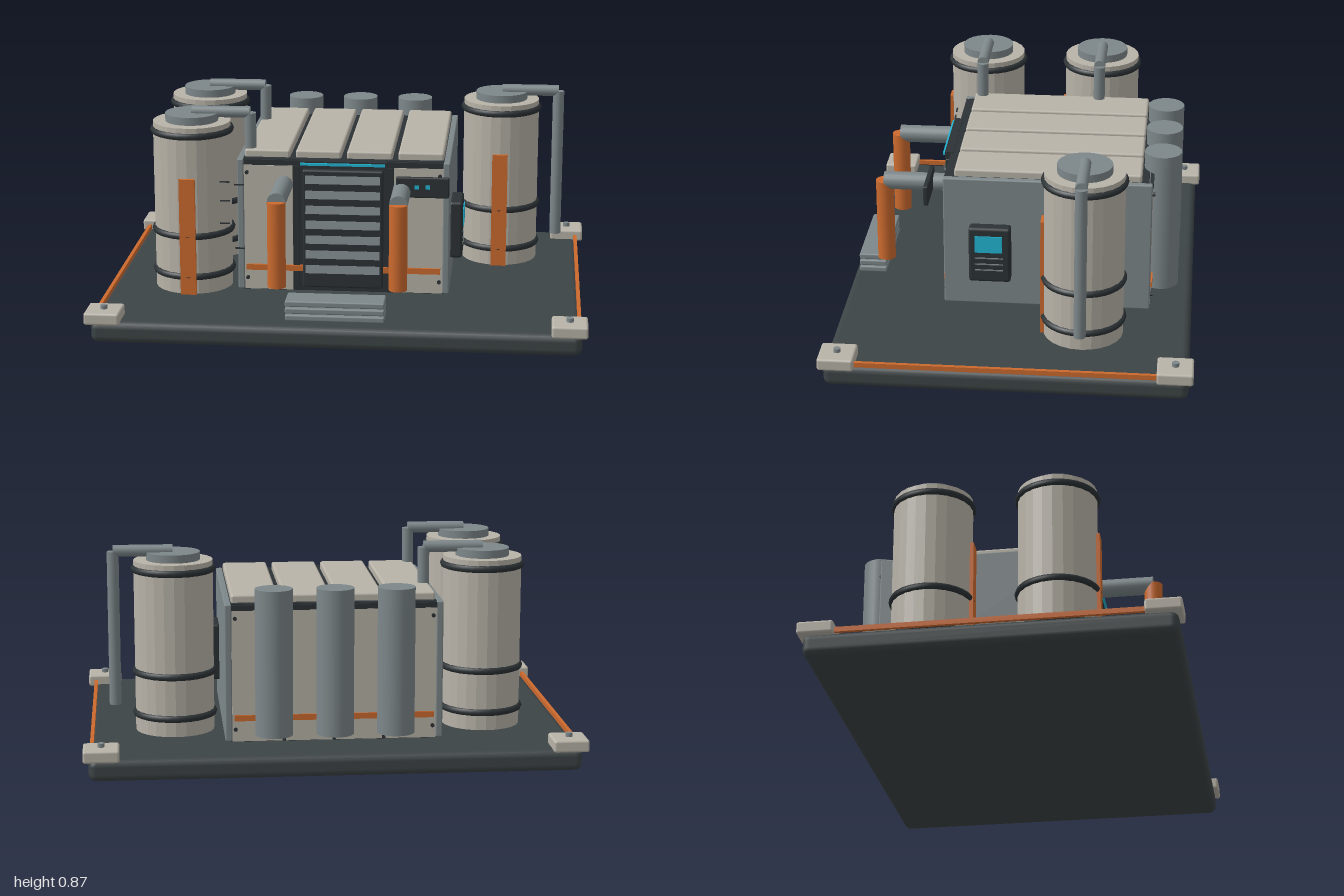
import * as THREE from 'three';
import { RoundedBoxGeometry } from 'three/addons/geometries/RoundedBoxGeometry.js';

export function createModel() {
  const root = new THREE.Group();
  const mat = (color, flatShading = false) => {
    const m = new THREE.MeshStandardMaterial({ flatShading });
    m.color.set(color);
    return m;
  };
  const deck = mat(0x3d4446), dark = mat(0x2c3235), beige = mat(0xb8b3a8), steel = mat(0x7d878a);
  const orange = mat(0xcc6a2e), cyan = mat(0x22b8d6), beigeFlat = mat(0xb8b3a8, true);

  const add = (name, geo, m, x, y, z, parent = root) => {
    const mesh = new THREE.Mesh(geo, m);
    mesh.name = name;
    mesh.position.set(x, y, z);
    parent.add(mesh);
    return mesh;
  };
  const box = (name, m, w, h, d, x, y, z, p) => add(name, new THREE.BoxGeometry(w, h, d), m, x, y, z, p);
  const soft = (name, m, w, h, d, r, x, y, z, p) =>
    add(name, new RoundedBoxGeometry(w, h, d, 2, r), m, x, y, z, p);
  const rod = (name, m, r, h, x, y, z, p, n = 20) =>
    add(name, new THREE.CylinderGeometry(r, r, h, n), m, x, y, z, p);

  // Platform with edge strips and corner feet
  soft('platform', deck, 1.955, 0.09, 1.43, 0.03, 0, 0.045, 0);
  for (const sx of [-1, 1]) {
    box('edgeStrip', orange, 0.015, 0.02, 1.2, sx * 0.967, 0.1, 0);
    for (const sz of [-1, 1]) {
      soft('cornerBlock', beige, 0.143, 0.05, 0.143, 0.01, sx * 0.928, 0.106, sz * 0.661);
      rod('cornerBolt', steel, 0.014, 0.02, sx * 0.928, 0.137, sz * 0.661, root, 12);
    }
  }

  // Housing: dark core, steel side walls, roof panels
  const house = new THREE.Group();
  house.name = 'housing';
  root.add(house);
  box('core', dark, 0.83, 0.56, 0.81, 0, 0.385, -0.123, house);
  for (const s of [-1, 1]) {
    soft('sideWall', steel, 0.028, 0.556, 0.842, 0.006, s * 0.422, 0.388, -0.123, house);
    for (const z of [0.288, -0.538]) {
      box('wallPanel', beige, 0.2, 0.53, 0.012, s * 0.308, 0.375, z, house);
      for (const y of [0.16, 0.61]) {
        const b = rod('panelBolt', dark, 0.008, 0.012, s * 0.395, y, z + Math.sign(z) * 0.01, house, 8);
        b.rotation.x = Math.PI / 2;
      }
    }
  }
  for (let i = 0; i < 4; i++)
    soft('roofPanel', beige, 0.187, 0.04, 0.755, 0.01, (i - 1.5) * 0.21, 0.676, -0.123, house);
  for (const s of [-1, 1]) box('rearCenterPanel', beige, 0.185, 0.53, 0.012, s * 0.1, 0.375, -0.538, house);
  box('frontBand', orange, 0.8, 0.024, 0.012, 0, 0.206, 0.298, house);
  box('rearBand', orange, 0.8, 0.024, 0.012, 0, 0.206, -0.545, house);
  for (const z of [0.288, -0.54]) box('topBeam', dark, 0.82, 0.022, 0.014, 0, 0.652, z, house);

  // Louvred door, light bar and posts
  soft('doorFrame', dark, 0.33, 0.5, 0.035, 0.008, 0, 0.38, 0.302, house);
  for (let i = 0; i < 7; i++) {
    const slat = box('louvre', steel, 0.305, 0.034, 0.01, 0, 0.59 - i * 0.0635, 0.32, house);
    slat.rotation.x = -0.2;
  }
  for (const s of [-1, 1]) box('doorPost', dark, 0.024, 0.53, 0.02, s * 0.192, 0.375, 0.291, house);
  box('lightHousing', dark, 0.36, 0.03, 0.035, 0, 0.652, 0.302, house);
  box('lightBar', cyan, 0.345, 0.01, 0.012, 0, 0.656, 0.322, house);

  // Front indicator panel
  soft('indicatorPanel', dark, 0.215, 0.085, 0.02, 0.006, 0.328, 0.582, 0.368);
  for (const x of [0.305, 0.35]) box('indicatorLamp', cyan, 0.018, 0.016, 0.006, x, 0.585, 0.379);

  // Small loose marks on the front
  for (const [x, y] of [[-0.48, 0.58], [-0.48, 0.5], [-0.48, 0.405], [-0.42, 0.57], [-0.42, 0.3]])
    box('frontMark', dark, 0.04, 0.005, 0.006, x, y, 0.347);

  // Control box on the left wall
  const control = new THREE.Group();
  control.name = 'controlBox';
  root.add(control);
  soft('controlCase', dark, 0.055, 0.24, 0.17, 0.012, 0.458, 0.352, 0.106, control);
  box('controlScreen', cyan, 0.008, 0.072, 0.11, 0.486, 0.402, 0.11, control);
  for (const y of [0.34, 0.313, 0.287]) box('controlSlot', steel, 0.004, 0.005, 0.115, 0.486, y, 0.108, control);

  // Front pipes: steel run out of the wall, orange drop
  for (const s of [-1, 1]) {
    const x = s * 0.243;
    rod('frontPipe', steel, 0.037, 0.29, x, 0.561, 0.418).rotation.x = Math.PI / 2;
    rod('dropPipe', orange, 0.037, 0.352, x, 0.386, 0.562);
  }

  // Stacked entry steps
  for (let i = 0; i < 3; i++) soft('step', steel, 0.395, 0.024, 0.115, 0.006, 0, 0.121 + i * 0.029, 0.63);

  // Rear stacks
  for (const x of [-0.243, 0, 0.243]) rod('rearStack', steel, 0.075, 0.59, x, 0.44, -0.58, root, 24);

  // Tanks with bands, marker strip and outlet pipe
  for (const [x, z] of [[-0.63, -0.285], [-0.63, 0.22], [0.63, -0.285]]) {
    const tank = new THREE.Group();
    tank.name = 'tank';
    tank.position.set(x, 0, z);
    root.add(tank);
    rod('tankBody', beigeFlat, 0.16, 0.7, 0, 0.457, 0, tank, 24);
    rod('tankCap', steel, 0.109, 0.035, 0, 0.822, 0, tank, 24);
    for (const y of [0.18, 0.352, 0.772])
      add('tankBand', new THREE.TorusGeometry(0.157, 0.015, 8, 32), dark, 0, y, 0, tank).rotation.x = Math.PI / 2;
    box('markerStrip', orange, 0.065, 0.49, 0.02, 0, 0.352, 0.161, tank);
    rod('outletPipe', steel, 0.024, 0.24, 0.122, 0.844, 0, tank, 16).rotation.z = Math.PI / 2;
    rod('downPipe', steel, 0.024, 0.63, 0.242, 0.527, 0, tank, 16);
  }
  return root;
}
